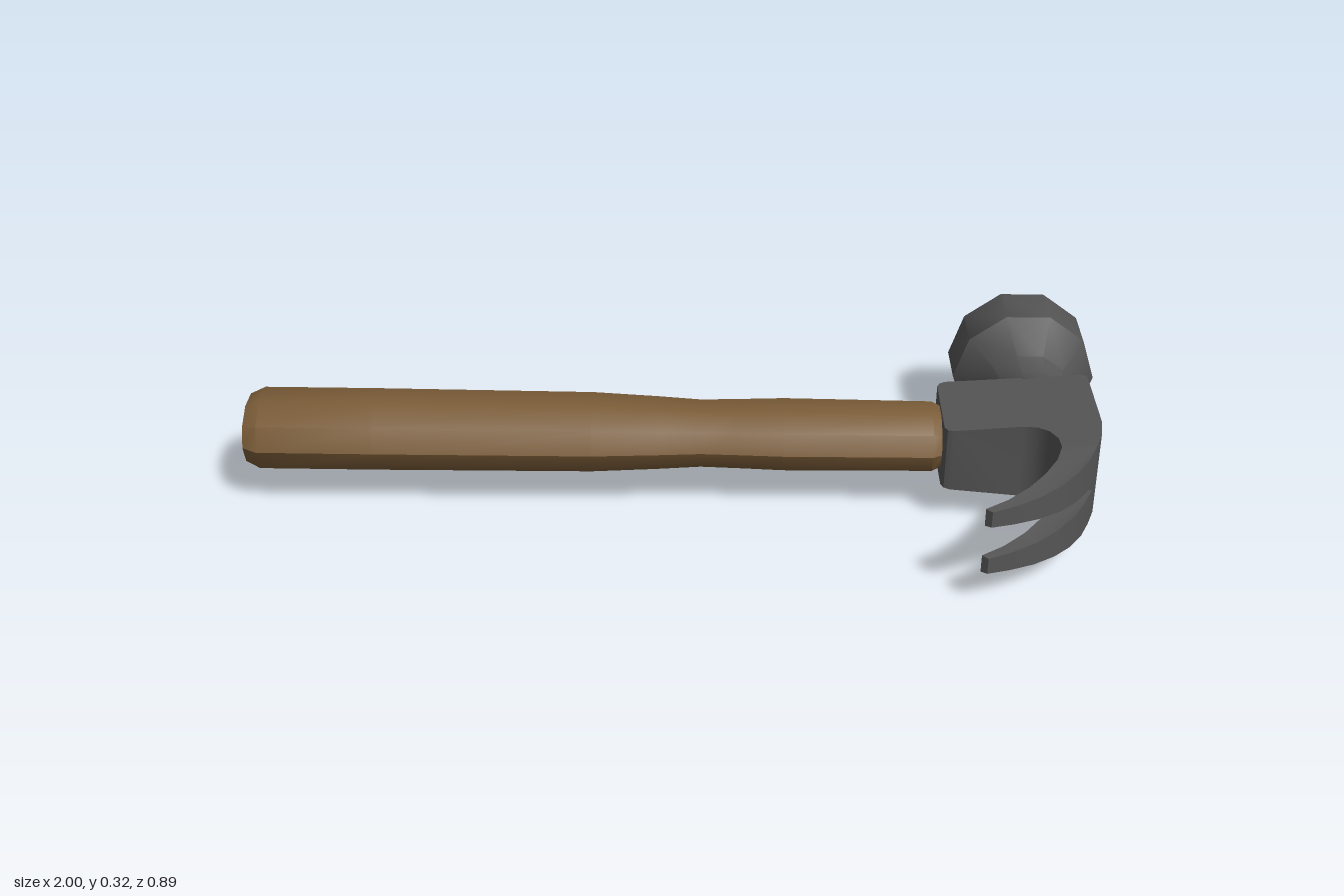
import * as THREE from 'three';
import { toCreasedNormals } from 'three/addons/utils/BufferGeometryUtils.js';

const MID_Y = 0.161; // height of the hammer's plane of symmetry
const CREASE = 0.68; // ten-sided rounds stay smooth, shoulders stay sharp
const lerp = THREE.MathUtils.lerp;
const vectors = (list) => list.map(([a, b]) => new THREE.Vector2(a, b));

// Ten-sided turned part from [radius, position] pairs.
function turned(profile, phiStart = 0) {
  return new THREE.LatheGeometry(vectors(profile), 10, phiStart);
}

// Plate with an x-z outline; upper and lower faces follow top(x, z) and bottom(x, z).
function plate(outline, top, bottom) {
  const geometry = new THREE.ExtrudeGeometry(new THREE.Shape(vectors(outline)), {
    depth: 1, bevelEnabled: false,
  });
  const p = geometry.attributes.position;
  for (let i = 0; i < p.count; i++) {
    const x = p.getX(i), z = p.getY(i), d = p.getZ(i);
    p.setXYZ(i, x, MID_Y + lerp(top(x, z), bottom(x, z), d), z);
  }
  return geometry;
}

export function createModel() {
  const model = new THREE.Group();
  model.name = 'clawHammer';
  const wood = new THREE.MeshStandardMaterial({ color: 0x7a5c38 });
  const steel = new THREE.MeshStandardMaterial({ color: 0x555555 });
  const add = (name, geometry, material, parent) => {
    const mesh = new THREE.Mesh(toCreasedNormals(geometry, CREASE), material);
    mesh.name = name;
    parent.add(mesh);
  };

  // Oval handle with a slim waist
  const handle = turned([
    [0, -1], [0.098, -1], [0.118, -0.965], [0.118, -0.7], [0.1145, -0.2],
    [0.105, -0.05], [0.097, 0.05], [0.1, 0.14], [0.104, 0.24],
    [0.1, 0.58], [0.085, 0.605], [0, 0.605],
  ]);
  handle.rotateZ(-Math.PI / 2).scale(1, 0.78, 1).translate(0, 0.159, -0.014);
  add('handle', handle, wood, model);

  const head = new THREE.Group();
  head.name = 'head';
  model.add(head);

  // Neck and striking face
  const face = turned([
    [0, 0.1], [0.096, 0.125], [0.089, 0.165], [0.1, 0.23], [0.17, 0.305],
    [0.17, 0.43], [0.165, 0.441], [0.154, 0.445], [0, 0.445],
  ], Math.PI / 2);
  face.rotateX(-Math.PI / 2).translate(0.83, MID_Y, 0);
  add('strikingFace', face, steel, head);

  // Block around the handle, thinner on the handle side, with the claw root
  const half = (x) => lerp(0.075, 0.1, Math.min(1, (x - 0.6) / 0.28));
  const block = plate([
    [0.6, -0.112], [0.606, -0.125], [0.62, -0.132], [0.94, -0.132], [0.949, -0.122],
    [0.949, 0.09], [0.939, 0.15], [0.921, 0.2],
    [0.845, 0.2], [0.843, 0.16], [0.828, 0.128], [0.805, 0.108], [0.775, 0.1],
    [0.62, 0.1], [0.606, 0.094], [0.6, 0.08],
  ], (x) => half(x), (x) => -half(x));
  add('headBlock', block, steel, head);

  // Two curved prongs that narrow towards the tip, with the slot between them
  const prong = [
    [0.921, 0.2], [0.897, 0.255], [0.865, 0.305], [0.825, 0.35], [0.775, 0.39],
    [0.72, 0.42], [0.668, 0.441], [0.655, 0.43], [0.705, 0.4],
    [0.755, 0.357], [0.795, 0.308], [0.827, 0.255], [0.845, 0.2],
  ];
  const along = (z) => Math.max(0, (z - 0.2) / 0.243);
  const outer = (x, z) => 0.1 - 0.023 * along(z) ** 1.8;
  const inner = (x, z) => 0.012 + 0.028 * along(z) ** 1.7;
  add('upperProng', plate(prong, outer, inner), steel, head);
  add('lowerProng', plate(prong, (x, z) => -inner(x, z), (x, z) => -outer(x, z)), steel, head);

  return model;
}
